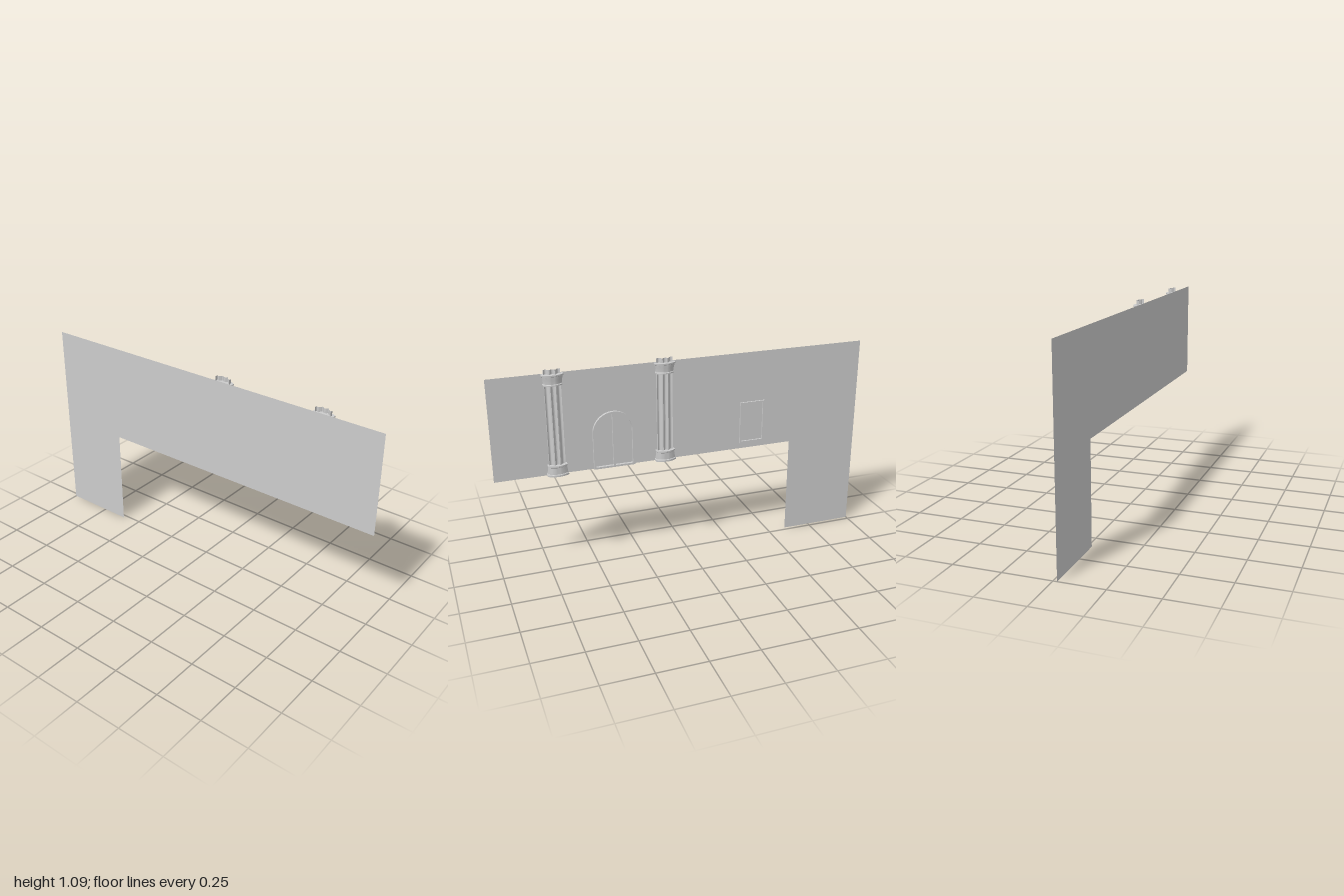
import * as THREE from 'three';
import { toCreasedNormals } from 'three/addons/utils/BufferGeometryUtils.js';

const WALL_Z = 0.02;
const FLOOR = 0.536;
const TOP = 1.068;

const stone = new THREE.MeshStandardMaterial({ color: 0xcccccc, side: THREE.DoubleSide });
stone.name = 'grey stone';

function addMesh(parent, name, geometry) {
  const mesh = new THREE.Mesh(geometry, stone);
  mesh.name = name;
  parent.add(mesh);
  return mesh;
}

// Skin a stack of equal-length rings, each running from -x to +x around the back
function loft(rings) {
  const pos = [];
  for (let j = 0; j < rings.length - 1; j++) {
    for (let i = 0; i < rings[j].length - 1; i++) {
      const a = rings[j][i], b = rings[j + 1][i];
      const c = rings[j + 1][i + 1], d = rings[j][i + 1];
      pos.push(...a, ...b, ...c, ...a, ...c, ...d);
    }
  }
  const g = new THREE.BufferGeometry();
  g.setAttribute('position', new THREE.Float32BufferAttribute(pos, 3));
  return toCreasedNormals(g, 0.5);
}

// Block section: straight sides from the wall, then a bowed face
function bowedRing(y, halfWidth, faceZ) {
  const sideZ = faceZ + 0.018;
  const ring = [[-halfWidth, y, WALL_Z]];
  for (let i = 0; i <= 12; i++) {
    const t = -1 + i / 6;
    ring.push([halfWidth * t, y, sideZ + (faceZ - sideZ) * (1 - t * t)]);
  }
  ring.push([halfWidth, y, WALL_Z]);
  return ring;
}

// Bowed block through levels of [y, half width, face z], closed at both ends
function bowedBlock(levels) {
  const rings = levels.map((l) => bowedRing(...l));
  const point = (ring) => ring.map(([, y]) => [0, y, WALL_Z]);
  return loft([point(rings[0]), ...rings, point(rings[rings.length - 1])]);
}

// Shaft section: three hollow flutes separated by narrow fillets
function flutedRing(y) {
  const ring = [[-0.041, y, WALL_Z]];
  const flutes = [
    [-0.041, 0.006, -0.018, -0.003],
    [-0.013, -0.005, 0.013, -0.005],
    [0.018, -0.003, 0.041, 0.006],
  ];
  for (const [x0, z0, x1, z1] of flutes) {
    for (let i = 0; i <= 8; i++) {
      const t = i / 8;
      ring.push([x0 + (x1 - x0) * t, y, z0 + (z1 - z0) * t + 0.009 * Math.sin(Math.PI * t)]);
    }
  }
  ring.push([0.041, y, WALL_Z]);
  return ring;
}

function makeColumn(x) {
  const column = new THREE.Group();
  column.name = 'column';
  addMesh(column, 'flutedShaft', loft([flutedRing(FLOOR + 0.01), flutedRing(1.09)]));
  addMesh(column, 'base', bowedBlock([
    [FLOOR, 0.054, -0.02], [0.545, 0.054, -0.02], [0.548, 0.051, -0.017],
    [0.583, 0.046, -0.016], [0.586, 0.049, -0.019], [0.594, 0.049, -0.019],
  ]));
  addMesh(column, 'capital', bowedBlock([
    [1.01, 0.047, -0.018], [1.016, 0.047, -0.018], [1.019, 0.045, -0.015],
    [1.04, 0.047, -0.016], [1.057, 0.051, -0.018], [1.059, 0.054, -0.02],
    [1.066, 0.054, -0.02],
  ]));
  column.position.x = x;
  return column;
}

// Extrude a shape out of the back of the wall
function relief(shape, depth) {
  const g = new THREE.ExtrudeGeometry(shape, { depth, bevelEnabled: false, curveSegments: 16 });
  g.translate(0, 0, WALL_Z - depth);
  return toCreasedNormals(g, 0.5);
}

function trace(path, x0, x1, y0, y1, arched) {
  path.moveTo(x0, y0);
  path.lineTo(x1, y0);
  path.lineTo(x1, y1);
  if (arched) path.absarc((x0 + x1) / 2, y1, (x1 - x0) / 2, 0, Math.PI, false);
  else path.lineTo(x0, y1);
  path.closePath();
  return path;
}

function frameShape(x0, x1, y0, y1, rim, arched) {
  const shape = trace(new THREE.Shape(), x0, x1, y0, y1, arched);
  const holeTop = arched ? y1 : y1 - rim;
  shape.holes.push(trace(new THREE.Path(), x0 + rim, x1 - rim, y0 + rim, holeTop, arched));
  return shape;
}

export function createModel() {
  const model = new THREE.Group();
  model.name = 'facade';

  // Flat L-shaped wall
  const outline = [[-1, 0], [-0.602, 0], [-0.602, FLOOR], [1, FLOOR], [1, TOP], [-1, TOP]];
  const wall = new THREE.ShapeGeometry(new THREE.Shape(outline.map((p) => new THREE.Vector2(...p))));
  wall.translate(0, 0, WALL_Z);
  addMesh(model, 'wall', wall);

  // Pair of half columns on the back
  for (const x of [0.115, 0.682]) model.add(makeColumn(x));

  // Arched double door
  const door = new THREE.Group();
  door.name = 'door';
  addMesh(door, 'doorFrame', relief(frameShape(0.28, 0.495, FLOOR, 0.73, 0.01, true), 0.014));
  const post = new THREE.BoxGeometry(0.01, 0.292, 0.012);
  post.translate(0.3875, FLOOR + 0.15, WALL_Z - 0.006);
  addMesh(door, 'doorPost', post);
  model.add(door);

  // Rectangular window frame
  addMesh(model, 'windowFrame', relief(frameShape(-0.445, -0.306, 0.568, 0.797, 0.01, false), 0.009));

  return model;
}
